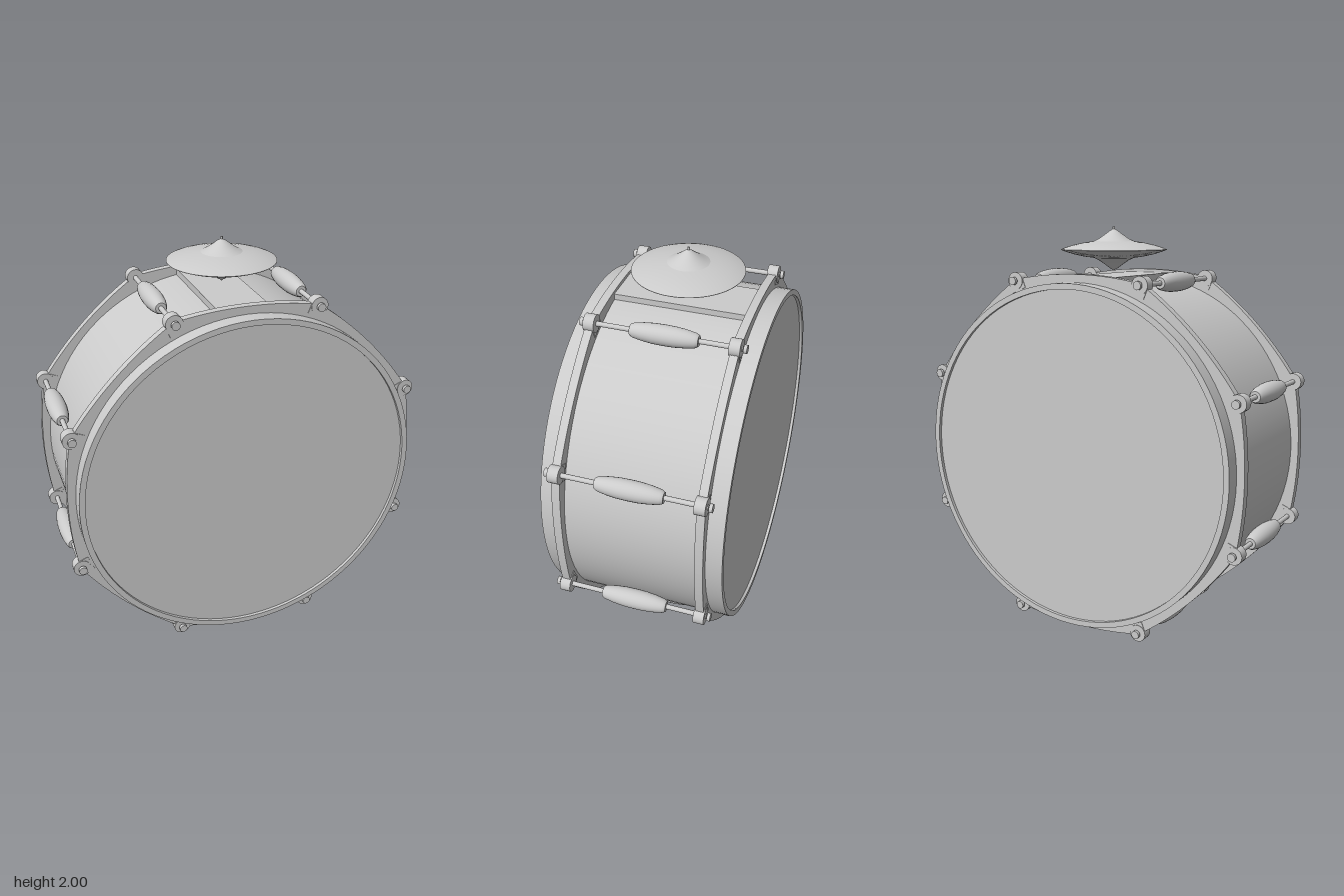
import * as THREE from 'three';

const CY = 0.894;          // height of the drum axis
const LUGS = 8, LUG_R = 0.915;
const mat = new THREE.MeshStandardMaterial({ color: 0xcccccc });

function add(parent, geo, name, x = 0, y = 0, z = 0) {
  const m = new THREE.Mesh(geo, mat);
  m.name = name;
  m.position.set(x, y, z);
  parent.add(m);
  return m;
}

// Lathe with hard edges: each run of points is smoothed on its own
function lathe(parent, name, runs, seg = 96, alongZ = true) {
  const g = new THREE.Group();
  g.name = name;
  for (const pts of runs) {
    const geo = new THREE.LatheGeometry(pts.map(p => new THREE.Vector2(p[0], p[1])), seg);
    if (alongZ) geo.rotateX(Math.PI / 2);
    add(g, geo, name + 'Surface');
  }
  parent.add(g);
  return g;
}

const rod = (r, len, seg = 16) => new THREE.CylinderGeometry(r, r, len, seg).rotateX(Math.PI / 2);

// Flange outline: nearly straight between lugs, swelling outwards at each one
function flangeGeometry() {
  const s = new THREE.Shape(), n = 192;
  for (let i = 0; i < n; i++) {
    const a = i / n * Math.PI * 2, step = Math.PI * 2 / LUGS;
    const t = Math.abs(a / step - Math.round(a / step)) * 2;
    const r = 0.886 + 0.036 * t * t;
    s[i ? 'lineTo' : 'moveTo'](r * Math.cos(a), r * Math.sin(a));
  }
  const hole = new THREE.Path();
  hole.absarc(0, 0, 0.842, 0, Math.PI * 2, true);
  s.holes.push(hole);
  return new THREE.ExtrudeGeometry(s, { depth: 0.04, bevelEnabled: false, curveSegments: 48 }).translate(0, 0, -0.02);
}

export function createModel() {
  const model = new THREE.Group();
  model.name = 'drumWithCymbals';
  const drum = new THREE.Group();
  drum.name = 'drum';
  drum.position.y = CY;
  model.add(drum);

  // Shell with a raised lip around each recessed head
  lathe(drum, 'shell', [
    [[0, -0.422], [0.82, -0.422]],
    [[0.82, -0.422], [0.82, -0.438]],
    [[0.82, -0.438], [0.848, -0.438]],
    [[0.848, -0.438], [0.848, 0.438]],
    [[0.848, 0.438], [0.82, 0.438]],
    [[0.82, 0.438], [0.82, 0.422]],
    [[0.82, 0.422], [0, 0.422]],
  ]);

  // Tension flanges
  const flange = flangeGeometry();
  for (const s of [1, -1]) add(drum, flange, s > 0 ? 'frontFlange' : 'backFlange', 0, 0, s * 0.339);

  // Lugs: tension rod, barrel handle, ears and bolt heads
  for (let i = 0; i < LUGS; i++) {
    const a = (i + 0.5) / LUGS * Math.PI * 2;
    const lug = new THREE.Group();
    lug.name = 'lug';
    lug.position.set(LUG_R * Math.cos(a), LUG_R * Math.sin(a), 0);
    drum.add(lug);
    add(lug, rod(0.012, 0.74), 'tensionRod');
    const handle = lathe(lug, 'handle', [
      [[0, -0.16], [0.026, -0.16]],
      [[0.026, -0.16], [0.034, -0.145], [0.042, -0.1], [0.047, -0.05], [0.048, 0],
        [0.047, 0.05], [0.042, 0.1], [0.034, 0.145], [0.026, 0.16]],
      [[0.026, 0.16], [0, 0.16]],
    ], 24);
    handle.position.z = -0.01;
    for (const s of [1, -1]) {
      add(lug, rod(0.042, 0.052, 24), 'ear', 0, 0, s * 0.339);
      // Bridge joining the ear to the flange
      const bridge = add(lug, new THREE.BoxGeometry(0.05, 0.084, 0.046), 'earBridge',
        -0.025 * Math.cos(a), -0.025 * Math.sin(a), s * 0.339);
      bridge.rotation.z = a;
      add(lug, rod(0.02, 0.016, 16), 'boltHead', 0, 0, s * 0.382);
    }
  }

  // Mounting plate on top of the shell
  add(model, new THREE.BoxGeometry(0.25, 0.06, 0.64), 'mountPlate', -0.01, 1.733, 0);

  // Pair of facing cymbals, the lower mirrored from the upper
  const cymbals = new THREE.Group();
  cymbals.name = 'cymbals';
  cymbals.position.set(0, 1.888, -0.01);
  model.add(cymbals);
  const bell = [[0.1, 0.041], [0.075, 0.053], [0.047, 0.072], [0.02, 0.092], [0, 0.103]];
  const bow = [[0.265, 0.001], [0.24, 0.011], [0.2, 0.023], [0.15, 0.034], [0.1, 0.041]];
  const flip = pts => pts.map(([r, y]) => [r, -y]).reverse();
  lathe(cymbals, 'upperCymbal', [bow, bell], 64, false);
  lathe(cymbals, 'lowerCymbal', [flip(bell), flip(bow)], 64, false);
  lathe(cymbals, 'cymbalEdge', [[[0.265, -0.001], [0.265, 0.001]]], 64, false);
  add(cymbals, new THREE.CylinderGeometry(0.006, 0.006, 0.215, 12), 'cymbalPin', 0, 0.0045, 0);

  return model;
}
